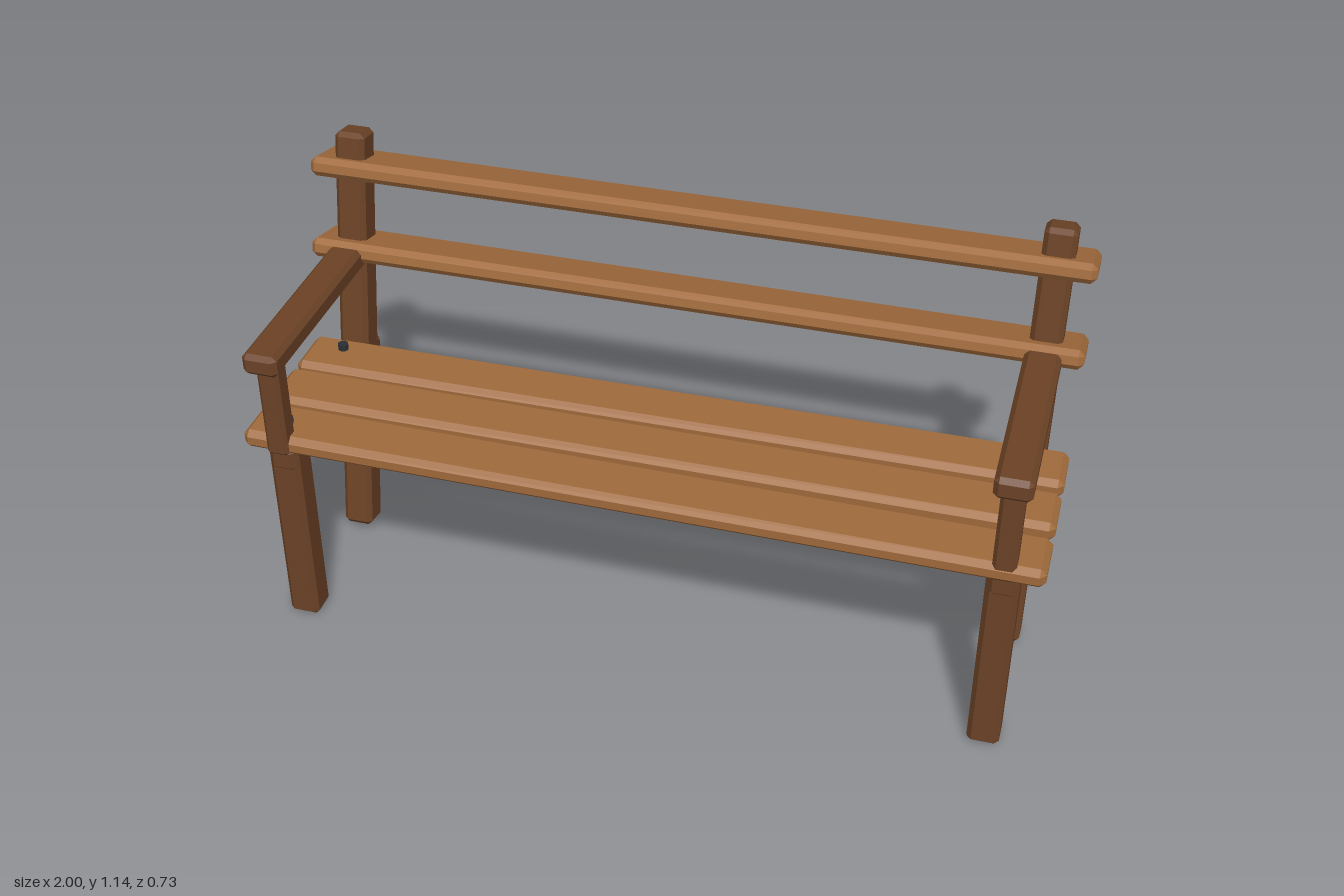
import * as THREE from 'three';
import { ConvexGeometry } from 'three/addons/geometries/ConvexGeometry.js';

const darkWood = new THREE.MeshStandardMaterial({ color: 0x6b4226, flatShading: true });
const lightWood = new THREE.MeshStandardMaterial({ color: 0xa06a3c, flatShading: true });
const iron = new THREE.MeshStandardMaterial({ color: 0x2b2f33, flatShading: true });

// Box with every edge cut by a single flat chamfer
function chamferBox(w, h, d, c = 0.012) {
  const points = [];
  for (const sx of [-1, 1]) for (const sy of [-1, 1]) for (const sz of [-1, 1]) {
    for (let axis = 0; axis < 3; axis++) {
      // each corner becomes three points, one lying on each adjoining face
      const inset = [c, c, c];
      inset[axis] = 0;
      points.push(new THREE.Vector3(
        sx * (w / 2 - inset[0]), sy * (h / 2 - inset[1]), sz * (d / 2 - inset[2])));
    }
  }
  return new ConvexGeometry(points);
}

function beam(name, material, [w, h, d], [x, y, z], chamfer) {
  const mesh = new THREE.Mesh(chamferBox(w, h, d, chamfer), material);
  mesh.name = name;
  mesh.position.set(x, y, z);
  return mesh;
}

// One end frame: legs, seat bearer, armrest and bolts
function createEndFrame(name, x) {
  const frame = new THREE.Group();
  frame.name = name;
  frame.position.x = x;

  const backLeg = beam('backLeg', darkWood, [0.08, 1.135, 0.082], [0, 0.576, -0.197]);
  backLeg.rotation.x = -0.172;
  frame.add(
    backLeg,
    beam('frontLeg', darkWood, [0.08, 0.54, 0.082], [0, 0.272, 0.265]),
    beam('seatBearer', darkWood, [0.07, 0.068, 0.57], [0, 0.513, 0.027]),
    beam('armrestPost', darkWood, [0.057, 0.27, 0.057], [0, 0.675, 0.302], 0.009),
    beam('armrest', darkWood, [0.09, 0.058, 0.604], [0, 0.826, 0.062]));

  for (const z of [0.253, -0.095]) {
    const bolt = new THREE.Mesh(new THREE.CylinderGeometry(0.014, 0.014, 0.03, 8), iron);
    bolt.name = 'bolt';
    bolt.position.set(0, 0.591, z);
    frame.add(bolt);
  }
  return frame;
}

export function createModel() {
  const bench = new THREE.Group();
  bench.name = 'bench';

  bench.add(createEndFrame('leftFrame', 0.9), createEndFrame('rightFrame', -0.9));

  // Seat planks, laid slightly out of true
  for (const [name, z, yaw] of [
    ['frontSeatPlank', 0.253, -0.007],
    ['middleSeatPlank', 0.084, 0.001],
    ['backSeatPlank', -0.082, 0.007],
  ]) {
    const plank = beam(name, lightWood, [1.995, 0.052, 0.146], [0, 0.563, z], 0.015);
    plank.rotation.y = yaw;
    bench.add(plank);
  }

  // Backrest slats, tipped up at the front and pierced by the back legs
  for (const [name, y, z] of [
    ['upperBackSlat', 1.039, -0.285],
    ['lowerBackSlat', 0.826, -0.239],
  ]) {
    const slat = beam(name, lightWood, [1.995, 0.05, 0.155], [0, y, z], 0.014);
    slat.rotation.x = -0.24;
    bench.add(slat);
  }
  return bench;
}
